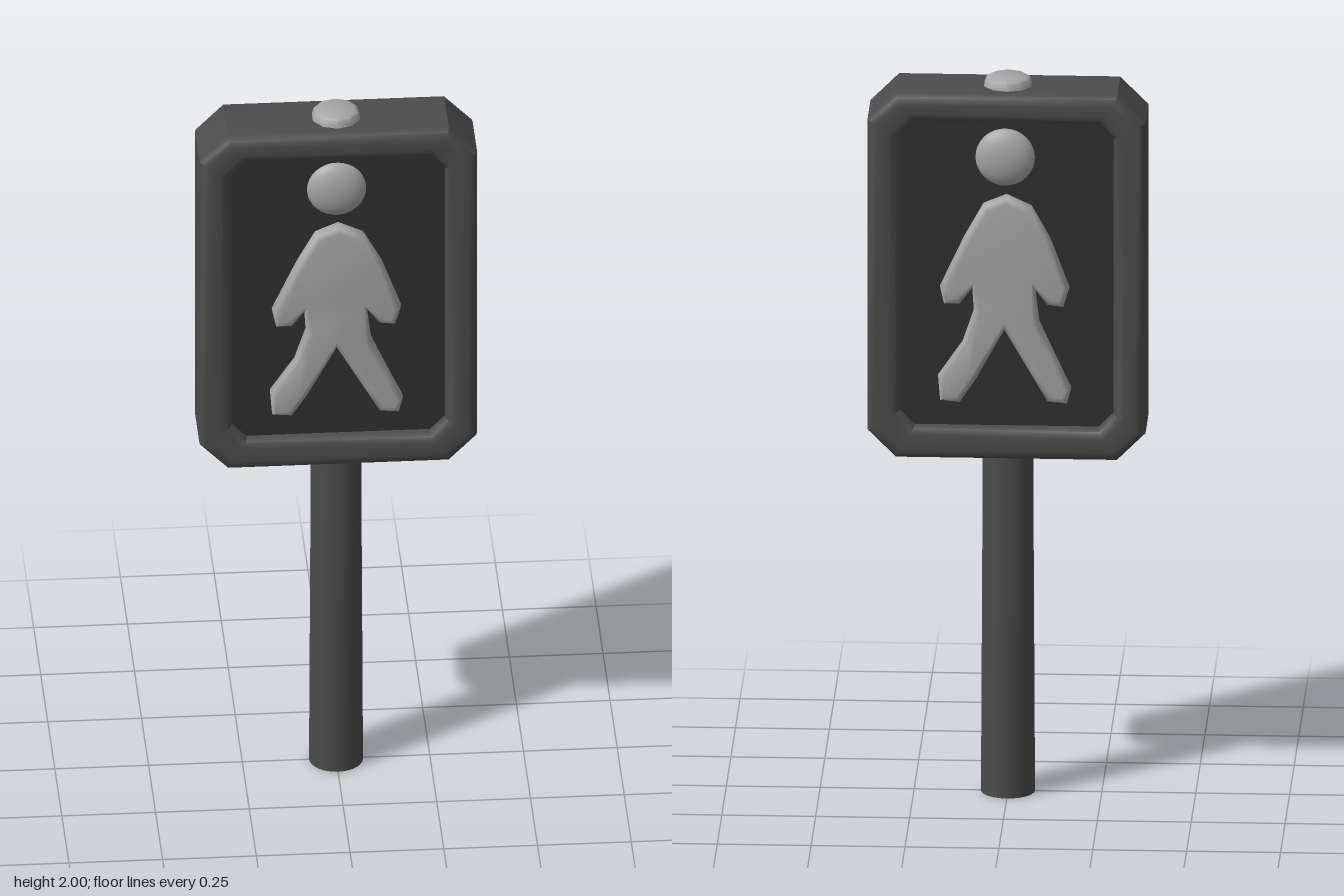
import * as THREE from 'three';
import { toCreasedNormals } from 'three/addons/utils/BufferGeometryUtils.js';

const mat = (name, color) => {
  const m = new THREE.MeshStandardMaterial({ color });
  m.name = name;
  return m;
};

// Rectangle with cut corners, half width w, from y0 to y1
function cutRect(w, y0, y1, c) {
  return [[-w + c, y0], [w - c, y0], [w, y0 + c], [w, y1 - c],
    [w - c, y1], [-w + c, y1], [-w, y1 - c], [-w, y0 + c]]
    .map(([x, y]) => new THREE.Vector2(x, y));
}

export function createModel() {
  const group = new THREE.Group();
  const housing = mat('dark grey housing', 0x4c4c4c);
  const screen = mat('black screen', 0x303030);
  const light = mat('light grey', 0xa6a6a6);

  const add = (name, geometry, material, parent = group) => {
    const mesh = new THREE.Mesh(geometry, material);
    mesh.name = name;
    parent.add(mesh);
    return mesh;
  };

  // Pole and top cap
  add('pole', toCreasedNormals(new THREE.CylinderGeometry(0.067, 0.072, 0.98, 24), 0.7), housing)
    .position.y = 0.49;
  const capProfile = [[0, 1.96], [0.068, 1.96], [0.066, 1.978], [0.06, 1.994], [0.05, 2], [0, 2]]
    .map(([x, y]) => new THREE.Vector2(x, y));
  add('topCap', toCreasedNormals(new THREE.LatheGeometry(capProfile, 10), 0.7), light);

  // Housing frame, open on both faces
  const outline = new THREE.Shape(cutRect(0.37, 0.955, 1.975, 0.075));
  outline.holes.push(new THREE.Path(cutRect(0.285, 1.045, 1.895, 0.04)));
  const bevel = 0.028;
  const frame = new THREE.ExtrudeGeometry(outline, {
    depth: 0.21 - 2 * bevel, bevelThickness: bevel, bevelSize: bevel,
    bevelOffset: -bevel, bevelSegments: 4,
  });
  frame.translate(0, 0, bevel - 0.105);
  add('housingFrame', toCreasedNormals(frame, 0.6), housing);

  // Screen recessed in both openings
  add('screenPanel', new THREE.BoxGeometry(0.6, 0.88, 0.146), screen).position.y = 1.47;

  // Walking figure silhouette: shoulders, arms, legs
  const points = [
    [0, 1.69], [-0.06, 1.665], [-0.11, 1.575], [-0.175, 1.435], [-0.165, 1.39], [-0.125, 1.39],
    [-0.09, 1.435], [-0.085, 1.37], [-0.115, 1.28], [-0.18, 1.185], [-0.175, 1.12], [-0.125, 1.115],
    [-0.085, 1.175], [-0.005, 1.32], [0.07, 1.19], [0.11, 1.12], [0.16, 1.115], [0.17, 1.155],
    [0.13, 1.24], [0.085, 1.34], [0.075, 1.435], [0.11, 1.39], [0.15, 1.385], [0.165, 1.435],
    [0.115, 1.57], [0.065, 1.66],
  ].map(([x, y]) => new THREE.Vector2(x, y)).reverse();
  const body = new THREE.ExtrudeGeometry(new THREE.Shape(points), {
    depth: 0.025, bevelThickness: 0.02, bevelSize: 0.018, bevelOffset: -0.016, bevelSegments: 4,
  });
  const bodyGeometry = toCreasedNormals(body, 1);
  const headGeometry = new THREE.SphereGeometry(0.08, 24, 16);

  // One raised figure on each face
  for (const [name, angle] of [['frontFigure', 0], ['backFigure', Math.PI]]) {
    const figure = new THREE.Group();
    figure.name = name;
    figure.rotation.y = angle;
    add('figureBody', bodyGeometry, light, figure).position.z = 0.061;
    const head = add('figureHead', headGeometry, light, figure);
    head.position.set(-0.004, 1.795, 0.07);
    head.scale.z = 0.45;
    group.add(figure);
  }
  return group;
}
